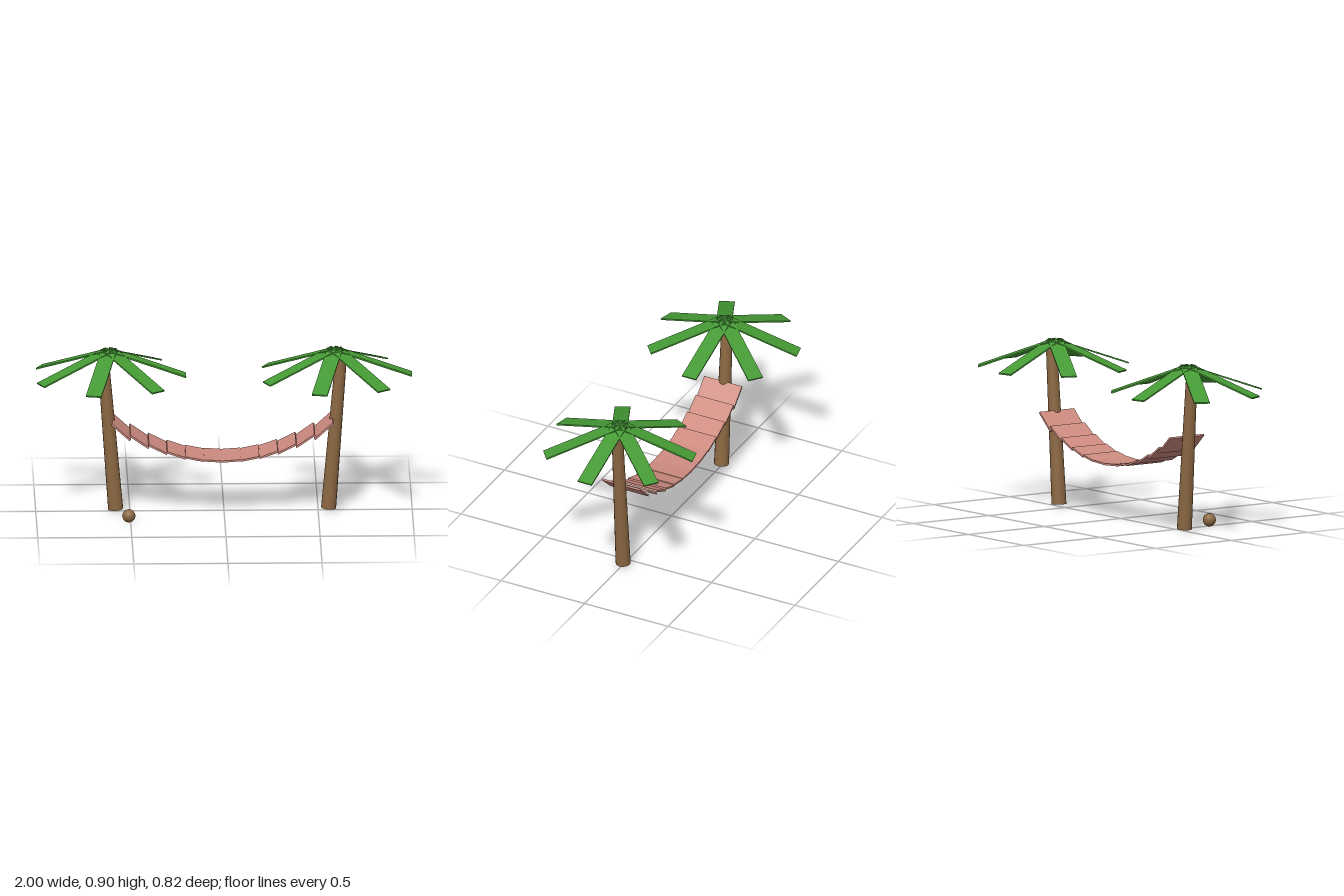
import * as THREE from 'three';

function material(name, color) {
  const m = new THREE.MeshStandardMaterial({ color });
  m.name = name;
  return m;
}

export function createModel() {
  const bark = material('bark brown', 0x8b6842);
  const leaf = material('leaf green', 0x469a35);
  const cloth = material('hammock pink', 0xcd8b80);
  const model = new THREE.Group();
  model.name = 'palmHammock';

  function add(parent, name, geometry, mat, x, y, z) {
    const mesh = new THREE.Mesh(geometry, mat);
    mesh.name = name;
    mesh.position.set(x, y, z);
    parent.add(mesh);
    return mesh;
  }

  const midX = -0.01; // middle between the two trees

  // Palms: outward-leaning tapered trunk with seven drooping fronds
  const trunkGeometry = new THREE.CylinderGeometry(0.03, 0.04, 0.86, 16);
  const frondLength = 0.432;
  const frondGeometry = new THREE.BoxGeometry(frondLength, 0.008, 0.084);
  frondGeometry.translate(frondLength / 2, 0, 0); // hinge at the crown
  for (const side of [-1, 1]) {
    const palm = new THREE.Group();
    palm.name = side > 0 ? 'leftPalm' : 'rightPalm';
    palm.position.x = midX + side * 0.6;
    model.add(palm);
    add(palm, 'trunk', trunkGeometry, bark, 0, 0.441, 0).rotation.z = -side * 0.08;
    for (let i = 0; i < 7; i++) {
      const frond = add(palm, 'frond', frondGeometry, leaf, 0, 0.892, 0);
      frond.rotation.set(0, (i * Math.PI * 2) / 7, -0.338, 'YXZ');
    }
  }

  // Hammock: overlapping flat strips along a sagging curve
  const hammock = new THREE.Group();
  hammock.name = 'hammock';
  model.add(hammock);
  const strips = 12, pitch = 0.098;
  for (let i = 0; i < strips; i++) {
    const u = (i - (strips - 1) / 2) * pitch;
    const angle = 1.37 * u;
    const length = 0.098 / Math.cos(angle);
    const strip = add(hammock, 'strip', new THREE.BoxGeometry(length, 0.01, 0.226),
      cloth, midX + u, 0.304 + 0.56 * u * u, 0);
    strip.rotation.z = angle;
  }

  // Coconut on the ground
  add(model, 'coconut', new THREE.SphereGeometry(0.035, 16, 12), bark, -0.51, 0.035, 0.212);

  return model;
}
